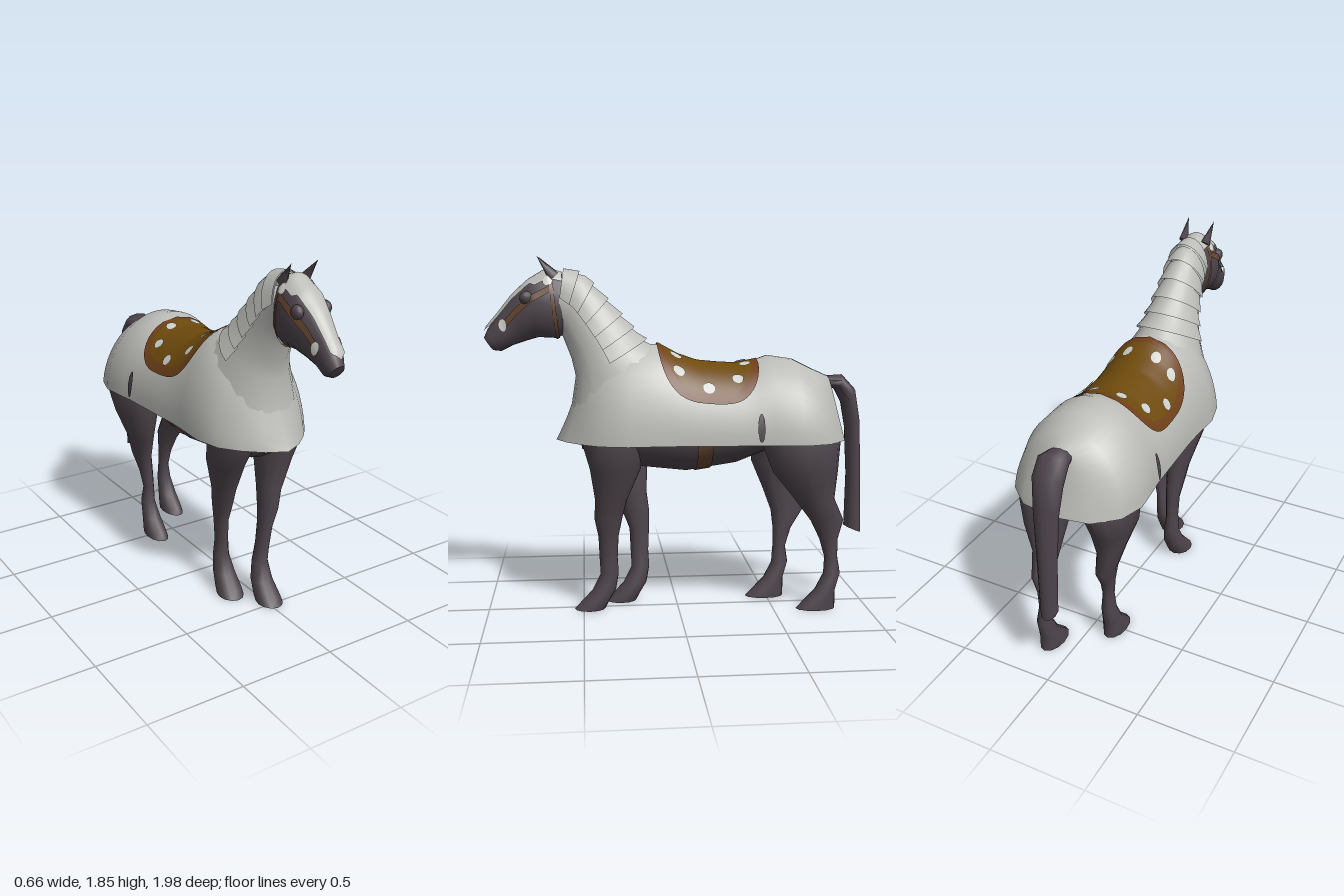
import * as THREE from 'three';
import { toCreasedNormals } from 'three/addons/utils/BufferGeometryUtils.js';

const mat = (name, color) => {
  const m = new THREE.MeshStandardMaterial({ color, side: THREE.DoubleSide });
  m.name = name;
  return m;
};
const { lerp, clamp } = THREE.MathUtils;

// Mesh from a rule p(u, v) -> [x, y, z] with u and v in 0..1
function grid(name, p, nu, nv, material) {
  const pos = [], idx = [];
  for (let i = 0; i <= nu; i++)
    for (let j = 0; j <= nv; j++) pos.push(...p(i / nu, j / nv));
  for (let i = 0; i < nu; i++)
    for (let j = 0; j < nv; j++) {
      const a = i * (nv + 1) + j, b = a + nv + 1;
      idx.push(a, b, a + 1, b, b + 1, a + 1);
    }
  const g = new THREE.BufferGeometry();
  g.setAttribute('position', new THREE.Float32BufferAttribute(pos, 3));
  g.setIndex(idx);
  const mesh = new THREE.Mesh(toCreasedNormals(g, 1.0), material);
  mesh.name = name;
  return mesh;
}

// Blend of neighbouring rows of a table at fractional index s
function row(rows, s) {
  const i = Math.min(Math.floor(Math.max(s, 0)), rows.length - 2);
  return rows[i].map((v, k) => lerp(v, rows[i + 1][k], s - i));
}

// Ring row: [zA, yA, zB, yB, halfWidth, xCentre]; angle 0 is at A, PI at B
function ringPoint(rings, s, a, grow = 0) {
  const [zA, yA, zB, yB, w, x = 0] = row(rings, s);
  const len = Math.hypot(zA - zB, yA - yB) || 1;
  const k = Math.cos(a) * (0.5 + grow / len);
  return [x + Math.sin(a) * (w + grow), (yA + yB) / 2 + k * (yA - yB), (zA + zB) / 2 + k * (zA - zB)];
}

// Closed tube through rings, capped at both ends
function loft(name, rings, material, sides = 14) {
  const cap = ([zA, yA, zB, yB, , x = 0]) => [(zA + zB) / 2, (yA + yB) / 2, (zA + zB) / 2, (yA + yB) / 2, 0, x];
  const full = rings.map(r => [...r.slice(0, 5), r[5] ?? 0]);
  const all = [cap(full[0]), ...full, cap(full[full.length - 1])];
  const n = all.length - 1;
  return grid(name, (u, v) => ringPoint(all, u * n, v * Math.PI * 2), n, sides, material);
}

// Cloth stations: [z at hem, z at top, y at top, half-width at hem]
const HEM = 0.91;
const CLOTH = [
  [0.63, 0.52, 1.22, 0], [0.58, 0.5, 1.26, 0.1], [0.5, 0.44, 1.32, 0.19], [0.41, 0.36, 1.36, 0.26],
  [0.27, 0.25, 1.4, 0.293], [0.1, 0.1, 1.4, 0.285], [0, 0, 1.345, 0.285], [-0.1, -0.1, 1.31, 0.29],
  [-0.2, -0.2, 1.3, 0.295], [-0.3, -0.3, 1.295, 0.3], [-0.4, -0.4, 1.315, 0.305], [-0.47, -0.47, 1.34, 0.315],
  [-0.62, -0.6, 1.32, 0.33], [-0.75, -0.7, 1.27, 0.29], [-0.85, -0.79, 1.23, 0.18], [-0.88, -0.81, 1.19, 0],
];
function clothPoint(s, a, grow = 0) {
  const [zh, zt, top, w] = row(CLOTH, s), h = Math.max(0, Math.sin(a));
  return [(w + grow) * Math.cos(a), HEM + (top + grow - HEM) * h, zt + (zh - zt) * Math.pow(1 - h, 1.5)];
}
function clothIndex(z) {
  let i = 0;
  while (i < CLOTH.length - 2 && CLOTH[i + 1][1] > z) i++;
  return i + (CLOTH[i][1] - z) / (CLOTH[i][1] - CLOTH[i + 1][1]);
}
// Rounded patch lying on the cloth, between radii r0 and r1
function clothPatch(name, z, a, rz, ra, material, grow, r0 = 0, r1 = 1, power = 1) {
  const soft = t => Math.sign(t) * Math.pow(Math.abs(t), power);
  return grid(name, (u, v) => {
    const r = lerp(r0, r1, u), t = v * Math.PI * 2;
    return clothPoint(clothIndex(z + rz * r * soft(Math.cos(t))), a + ra * r * soft(Math.sin(t)), grow);
  }, r1 - r0 > 0.5 && rz > 0.1 ? 14 : 3, rz > 0.1 ? 56 : 14, material);
}

const BARREL = [
  [0.5, 1.1, 0.5, 0.86, 0.1], [0.4, 1.2, 0.4, 0.8, 0.19], [0.2, 1.2, 0.2, 0.765, 0.23], [-0.04, 1.15, -0.04, 0.74, 0.25],
  [-0.3, 1.15, -0.3, 0.78, 0.25], [-0.48, 1.18, -0.48, 0.85, 0.25], [-0.7, 1.15, -0.7, 0.88, 0.22], [-0.8, 1.08, -0.8, 0.92, 0.1],
];
const NECK = [
  [0.55, 1.08, 0.06, 1.36, 0.2], [0.525, 1.24, 0.2, 1.43, 0.15], [0.545, 1.33, 0.28, 1.52, 0.118],
  [0.575, 1.41, 0.38, 1.63, 0.1], [0.59, 1.45, 0.48, 1.74, 0.092], [0.62, 1.5, 0.58, 1.78, 0.088],
];
const HEAD = [
  [0.58, 1.75, 0.56, 1.46, 0.08], [0.66, 1.775, 0.62, 1.435, 0.095], [0.76, 1.715, 0.71, 1.44, 0.1],
  [0.84, 1.64, 0.78, 1.42, 0.072], [0.91, 1.55, 0.84, 1.4, 0.053], [0.965, 1.485, 0.9, 1.37, 0.052],
  [0.985, 1.44, 0.94, 1.375, 0.035],
];
const TAIL = [
  [-0.78, 1.23, -0.78, 1.17, 0.06], [-0.87, 1.235, -0.83, 1.16, 0.08], [-0.94, 1.16, -0.87, 1.08, 0.08],
  [-0.97, 1.0, -0.892, 0.95, 0.066], [-0.985, 0.7, -0.905, 0.7, 0.052], [-0.995, 0.38, -0.9, 0.42, 0.042],
];
// Leg rows: [front z, back z, y, x, half-width]
const FRONT_LEG = [
  [0.5, 0.18, 1, 0.13, 0.1], [0.49, 0.19, 0.88, 0.14, 0.1], [0.46, 0.2, 0.77, 0.12, 0.085], [0.435, 0.27, 0.6, 0.085, 0.057],
  [0.44, 0.295, 0.5, 0.07, 0.046], [0.42, 0.315, 0.4, 0.055, 0.034], [0.415, 0.32, 0.28, 0.04, 0.031],
  [0.41, 0.315, 0.19, 0.03, 0.04], [0.455, 0.33, 0.1, 0.022, 0.055], [0.52, 0.37, 0.03, 0.02, 0.066], [0.55, 0.385, 0, 0.02, 0.066],
];
const HIND_LEG = [
  [-0.42, -0.8, 1.05, 0.15, 0.1], [-0.42, -0.83, 0.9, 0.17, 0.125], [-0.48, -0.82, 0.75, 0.17, 0.1], [-0.6, -0.81, 0.6, 0.15, 0.065],
  [-0.69, -0.865, 0.48, 0.135, 0.046], [-0.74, -0.84, 0.38, 0.125, 0.036], [-0.77, -0.84, 0.28, 0.12, 0.029],
  [-0.765, -0.855, 0.19, 0.125, 0.038], [-0.72, -0.83, 0.1, 0.125, 0.05], [-0.65, -0.83, 0.03, 0.125, 0.057], [-0.62, -0.83, 0, 0.125, 0.057],
];
// side is +1 or -1; the lower leg swings by dz and spreads by dx
function leg(name, rows, side, dz, dx, reach, material) {
  return loft(name, rows.map(([zf, zb, y, x, w]) => {
    const swing = dz * clamp((0.9 - y) / reach, 0, 1);
    return [zf + swing, y, zb + swing, y, w, side * (x + dx * clamp((0.9 - y) / 0.9, 0, 1))];
  }), material, 12);
}

export function createModel() {
  const model = new THREE.Group();
  model.name = 'armouredHorse';
  const coat = mat('dark coat', 0x4e454c), cloth = mat('pale cloth', 0xbcbcb8), pad = mat('saddle brown', 0x6e4a0c),
    trim = mat('trim brown', 0x6f4019), strap = mat('strap brown', 0x664631), stud = mat('pale stud', 0xcfcfca);
  const add = (...m) => model.add(...m);

  // Body, head and tail
  add(loft('barrel', BARREL, coat, 20), loft('head', HEAD, coat, 16), loft('tail', TAIL, coat, 10));

  // Legs in mid-stride
  add(leg('leftFrontLeg', FRONT_LEG, 1, 0, 0, 0.45, coat), leg('rightFrontLeg', FRONT_LEG, -1, -0.17, 0.09, 0.45, coat),
    leg('leftHindLeg', HIND_LEG, 1, 0, 0, 0.6, coat), leg('rightHindLeg', HIND_LEG, -1, 0.235, -0.01, 0.6, coat));

  // Long body cloth and neck hood
  add(grid('bodyCloth', (u, v) => clothPoint(u * (CLOTH.length - 1), v * Math.PI), CLOTH.length - 1, 24, cloth));
  add(loft('neckHood', NECK, cloth, 18));

  // Overlapping neck plates, flared at the lower edge
  for (let i = 0; i < 6; i++) {
    const s0 = 5 - i * 0.68, s1 = s0 - 0.75;
    add(grid('neckPlate', (u, v) => ringPoint(NECK, lerp(s0, s1, u), Math.PI + (v - 0.5) * Math.PI, lerp(0.006, 0.024, u)), 2, 12, cloth));
  }

  // Face plate, narrowing below the brow to a point at the nose
  const faceArc = s => (s < 1.7 ? 0.78 : s < 4.8 ? 0.6 : lerp(0.6, 0.05, (s - 4.8) / 0.8));
  add(grid('facePlate', (u, v) => {
    const s = lerp(0.1, 5.6, u);
    return ringPoint(HEAD, s, (v * 2 - 1) * faceArc(s), 0.016);
  }, 28, 8, cloth));

  // Bridle band, girth, cheek straps, studs, brows and ears
  const band = (name, rings, s0, s1) =>
    add(grid(name, (u, v) => ringPoint(rings, lerp(s0, s1, u), v * Math.PI * 2, 0.007), 2, 24, strap));
  band('bridleBand', HEAD, 0.72, 1);
  band('girth', BARREL, 3.17, 3.47);
  for (const side of [1, -1]) {
    add(grid('cheekStrap', (u, v) =>
      ringPoint(HEAD, lerp(1, 4, u), side * (lerp(1.1, 1.27, u) + (v - 0.5) * lerp(0.2, 0.36, u)), 0.007), 12, 2, strap));
    for (const [s, a, ra] of [[1, 0.85, 0.17], [4, 1.27, 0.32]])
      add(grid('bridleStud', (u, v) => ringPoint(HEAD, s + 0.28 * u * Math.cos(v * Math.PI * 2),
        side * (a + ra * u * Math.sin(v * Math.PI * 2)), 0.02), 2, 14, stud));
    const brow = new THREE.Mesh(new THREE.SphereGeometry(0.035, 10, 8), coat);
    brow.name = 'brow';
    brow.scale.set(0.8, 1, 1);
    brow.position.set(side * 0.077, 1.64, 0.765);
    const ear = new THREE.Mesh(new THREE.ConeGeometry(0.03, 0.13, 6), coat);
    ear.name = 'ear';
    ear.scale.x = 0.8;
    ear.position.set(side * 0.068, 1.795, 0.668);
    ear.rotation.set(0.68, 0, -side * 0.08);
    add(brow, ear);
  }

  // Saddle pad with border and studs
  const mid = Math.PI / 2;
  add(clothPatch('saddlePad', -0.15, mid, 0.26, 1.03, pad, 0.008, 0, 0.86, 0.6),
    clothPatch('saddleBorder', -0.15, mid, 0.26, 1.03, trim, 0.008, 0.86, 1, 0.6));
  for (const side of [1, -1]) {
    for (const [x, z] of [[0.07, -0.34], [0.17, -0.29], [0.212, -0.14], [0.17, 0.005], [0.08, 0.015]]) {
      const a = Math.acos(x / 0.295);
      add(clothPatch('saddleStud', z, side > 0 ? a : Math.PI - a, 0.03, 0.088, stud, 0.014));
    }
    // Slit in the cloth over the thigh
    add(clothPatch('thighSlit', -0.395, mid - side * (mid - 0.22), 0.018, 0.18, coat, 0.007));
  }
  return model;
}
